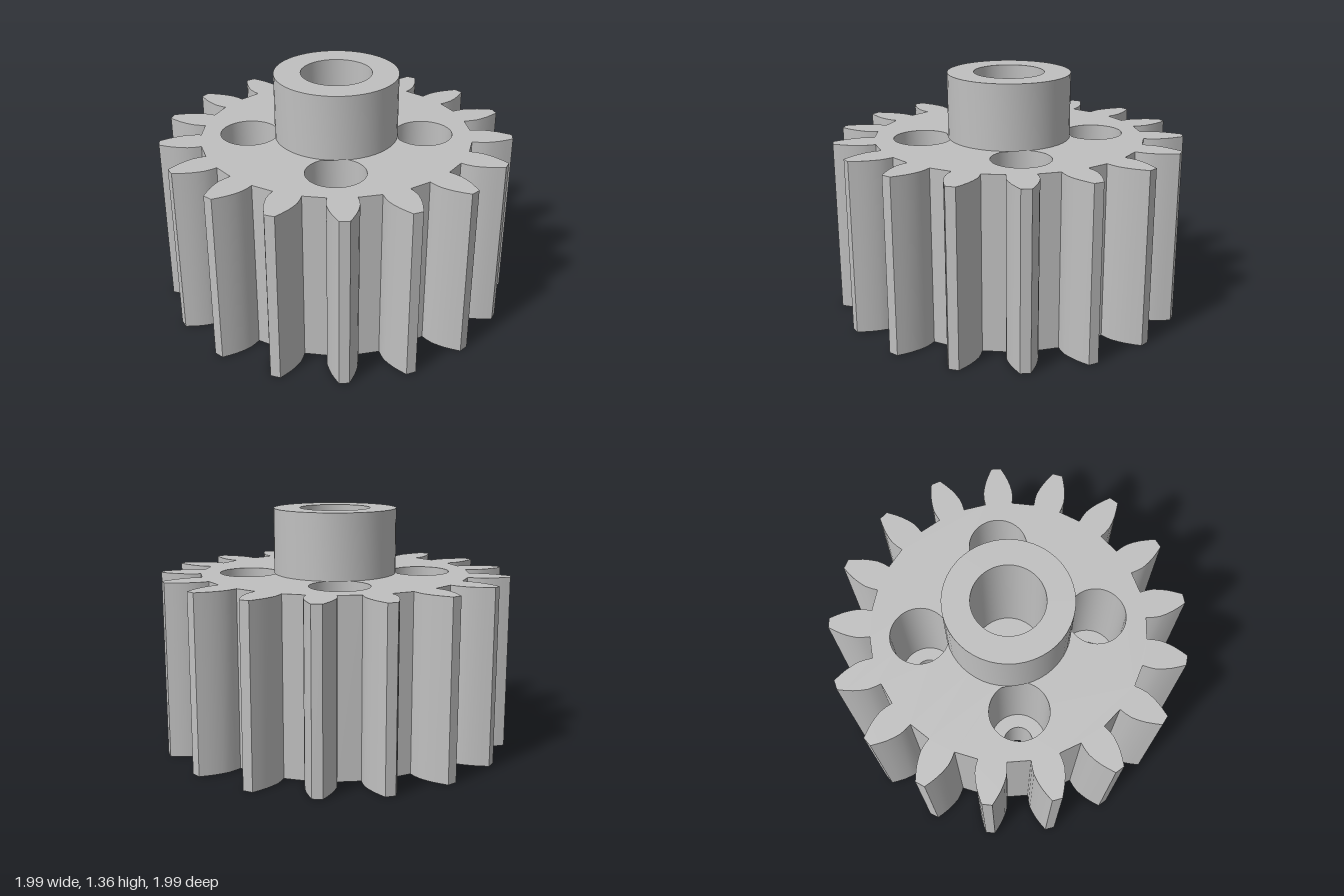
import * as THREE from 'three';
import { toCreasedNormals } from 'three/addons/utils/BufferGeometryUtils.js';

const TEETH = 17, FACE = 0.985, HUB_TOP = 1.355;
const HUB_R = 0.35, BORE_R = 0.2, RECESS_R = 0.228;
const BOLT_R = 0.085, COUNTERBORE_R = 0.165, BOLT_AT = 0.35;

// One flank of a tooth, root to tip: [distance along the tooth, half width]
const FLANK = [[0.765, 0.078], [0.8, 0.083], [0.84, 0.084], [0.88, 0.076],
  [0.92, 0.064], [0.96, 0.047], [0.999, 0.028]];

function gearOutline() {
  const profile = [
    ...FLANK.map(([r, w]) => new THREE.Vector2(r, -w)),
    ...FLANK.slice().reverse().map(([r, w]) => new THREE.Vector2(r, w)),
  ];
  const points = [];
  for (let i = 0; i < TEETH; i++) {
    const angle = (i / TEETH) * Math.PI * 2;
    for (const p of profile) points.push(p.clone().rotateAround(new THREE.Vector2(), angle));
  }
  return points;
}

// Flat gear face with a centre opening and four bolt openings
function gearFace(outline, centreR, boltR) {
  const shape = new THREE.Shape(outline);
  const cut = (x, y, r) => shape.holes.push(new THREE.Path().absarc(x, y, r, 0, Math.PI * 2, true));
  cut(0, 0, centreR);
  for (const x of [-1, 1]) for (const y of [-1, 1]) cut(x * BOLT_AT, y * BOLT_AT, boltR);
  return new THREE.ShapeGeometry(shape, 24);
}

// Vertical wall following the tooth outline
function toothWall(outline) {
  const positions = [];
  outline.forEach((a, i) => {
    const b = outline[(i + 1) % outline.length];
    const a0 = [a.x, 0, -a.y], a1 = [a.x, FACE, -a.y];
    const b0 = [b.x, 0, -b.y], b1 = [b.x, FACE, -b.y];
    positions.push(...a0, ...b0, ...b1, ...a0, ...b1, ...a1);
  });
  const geometry = new THREE.BufferGeometry();
  geometry.setAttribute('position', new THREE.Float32BufferAttribute(positions, 3));
  return toCreasedNormals(geometry, 0.4);
}

function turned(profile) {
  const points = profile.map(([r, y]) => new THREE.Vector2(r, y));
  return toCreasedNormals(new THREE.LatheGeometry(points, 48), 0.6);
}

export function createModel() {
  const model = new THREE.Group();
  model.name = 'pinionGear';
  const steel = new THREE.MeshStandardMaterial({ color: 0xc0c0c0 });
  steel.name = 'steel grey';

  const add = (name, geometry, x = 0, y = 0, z = 0) => {
    const mesh = new THREE.Mesh(geometry, steel);
    mesh.name = name;
    mesh.position.set(x, y, z);
    model.add(mesh);
  };

  // Toothed body
  const outline = gearOutline();
  add('toothWall', toothWall(outline));
  add('topFace', gearFace(outline, HUB_R, COUNTERBORE_R).rotateX(-Math.PI / 2), 0, FACE, 0);
  add('bottomFace', gearFace(outline, RECESS_R, BOLT_R).rotateX(Math.PI / 2));

  // Raised hub with its blind bore, and the recess underneath
  add('hub', turned([[HUB_R, FACE], [HUB_R, HUB_TOP], [BORE_R, HUB_TOP], [BORE_R, 0.6], [0, 0.6]]));
  add('shaftRecess', turned([[0, 0.4], [RECESS_R, 0.4], [RECESS_R, 0]]));

  // Counterbored bolt holes
  const boltHole = turned([[COUNTERBORE_R, FACE], [COUNTERBORE_R, 0.33], [BOLT_R, 0.33], [BOLT_R, 0]]);
  for (const x of [-1, 1]) for (const z of [-1, 1]) add('boltHole', boltHole, x * BOLT_AT, 0, z * BOLT_AT);

  // An odd tooth count puts the axis slightly off the middle of the width
  for (const part of model.children) part.position.x -= 0.008;
  return model;
}
